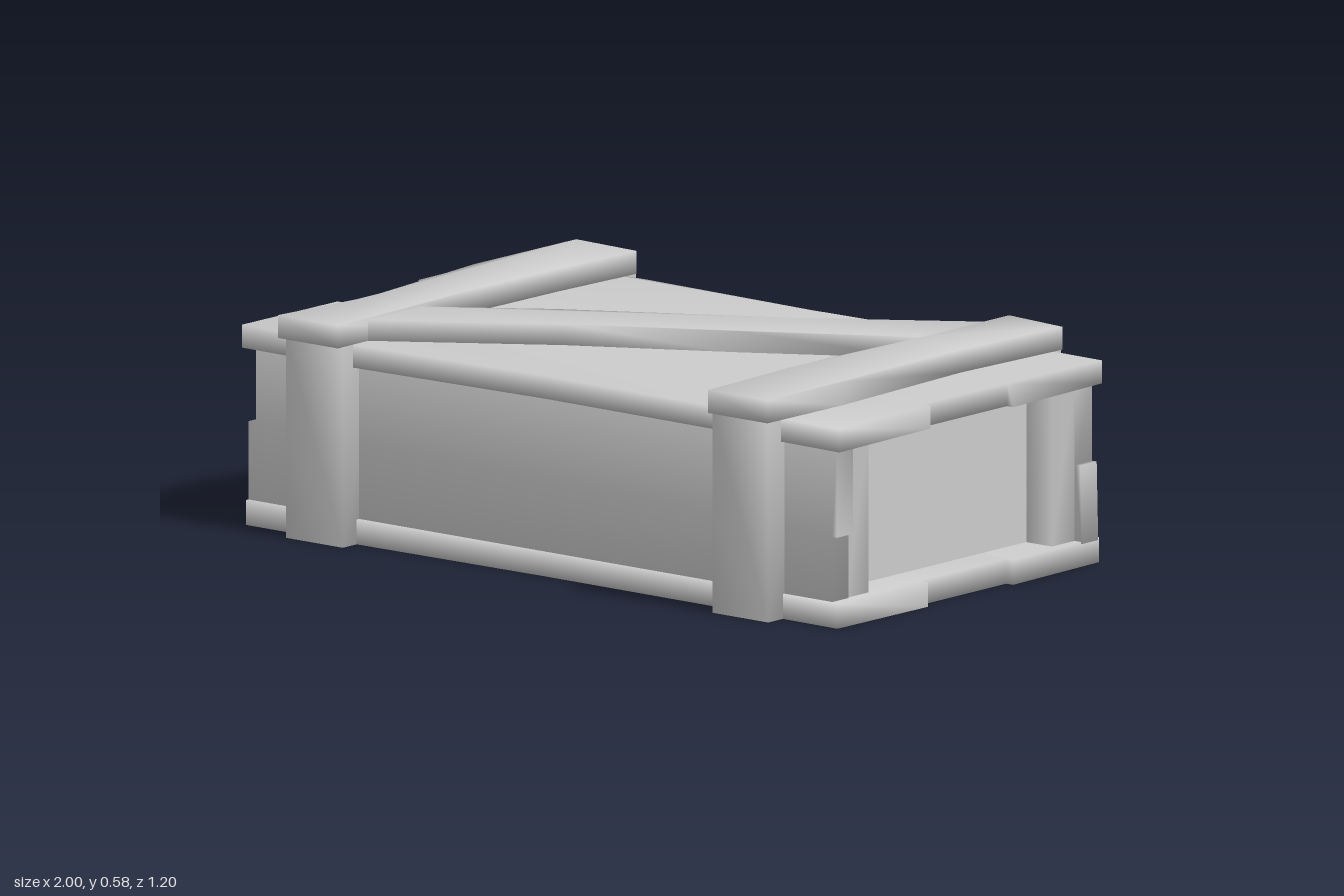
import * as THREE from 'three';
import { mergeVertices } from 'three/addons/utils/BufferGeometryUtils.js';

const material = new THREE.MeshStandardMaterial({ color: 0xcccccc });

// Hand-cut board: an outline given thickness, with softly shaded edges.
function cutBoard(outline, thickness) {
  const shape = new THREE.Shape(outline.map(([a, b]) => new THREE.Vector2(a, b)));
  const raw = new THREE.ExtrudeGeometry(shape, { depth: thickness, bevelEnabled: false });
  raw.deleteAttribute('uv');
  raw.deleteAttribute('normal');
  const geometry = mergeVertices(raw, 1e-4);
  geometry.computeVertexNormals();
  return geometry;
}

export function createModel() {
  const crate = new THREE.Group();
  crate.name = 'crate';

  const add = (name, geometry) => {
    const mesh = new THREE.Mesh(geometry, material);
    mesh.name = name;
    crate.add(mesh);
    return mesh;
  };
  // Board lying flat: outline in (x, z), between two heights.
  const flat = (name, outline, y0, y1) =>
    add(name, cutBoard(outline, y1 - y0).rotateX(Math.PI / 2).translate(0, y1, 0));
  // Board standing upright: outline in (x, y), between two depths.
  const upright = (name, outline, z0, z1) =>
    add(name, cutBoard(outline, z1 - z0).translate(0, 0, z0));
  const block = (name, x0, x1, y0, y1, z0, z1) =>
    add(name, new THREE.BoxGeometry(x1 - x0, y1 - y0, z1 - z0)
      .translate((x0 + x1) / 2, (y0 + y1) / 2, (z0 + z1) / 2));

  // Lid and base, with uneven plank ends
  flat('lid', [
    [-0.995, 0.535], [-0.62, 0.54], [0, 0.515], [0.6, 0.522], [1, 0.535],
    [0.99, 0.16], [0.965, 0.16], [0.965, -0.175], [0.985, -0.175], [0.972, -0.545],
    [0.55, -0.553], [0, -0.538], [-0.55, -0.553], [-1, -0.54],
    [-1, -0.175], [-0.97, -0.175], [-0.97, 0.16], [-0.99, 0.16],
  ], 0.465, 0.525);
  flat('base', [
    [-0.99, 0.525], [-0.62, 0.525], [0, 0.515], [0.6, 0.518], [0.985, 0.525],
    [0.99, 0.17], [0.962, 0.17], [0.962, -0.175], [0.985, -0.175], [0.975, -0.53],
    [0.55, -0.525], [0, -0.53], [-0.55, -0.525], [-1, -0.53],
    [-1, -0.175], [-0.975, -0.175], [-0.975, 0.17], [-0.99, 0.17],
  ], 0, 0.065);

  // Long side walls, each with stepped ends
  upright('frontWall', [
    [-0.99, 0.06], [0.96, 0.06], [0.96, 0.235], [0.975, 0.235],
    [0.975, 0.47], [-0.965, 0.47], [-0.965, 0.27], [-0.99, 0.27],
  ], 0.45, 0.515);
  upright('backWall', [
    [-0.965, 0.06], [0.98, 0.06], [0.975, 0.265], [0.96, 0.265],
    [0.96, 0.47], [-0.985, 0.47], [-0.985, 0.27], [-0.965, 0.27],
  ], -0.52, -0.455);

  // Recessed end panels close the inner box
  block('innerBox', -0.87, 0.87, 0.06, 0.47, -0.452, 0.447);

  // Corner posts and the strapping on both ends
  for (const side of [-1, 1]) {
    const end = side < 0 ? 'right' : 'left';
    for (const face of [-1, 1]) {
      const where = face < 0 ? 'Back' : 'Front';
      const z = face * 0.41;
      const x = side * 0.91;
      upright(`${end}${where}Post`, [
        [x - 0.045, 0.06], [x + 0.045, 0.06], [x + 0.045, 0.47], [x - 0.045, 0.47],
      ], z - 0.045, z + 0.045);

      // Upright strap, slightly bowed
      const [x0, x1] = side < 0 ? [-0.81, -0.62] : [0.615, 0.8];
      const inner = 0.505;
      const outer = face < 0 ? 0.587 : 0.58;
      upright(`${end}${where}Strap`, [
        [x0, 0], [x1, 0], [x1, 0.26], [x1, 0.525], [x0, 0.525], [x0, 0.26],
      ], face < 0 ? -outer : inner, face < 0 ? -inner : outer);
    }
  }

  // Straps across the lid, with wavy edges
  flat('rightLidStrap', [
    [-0.82, 0.6], [-0.62, 0.6], [-0.622, 0.25], [-0.64, 0], [-0.635, -0.3],
    [-0.62, -0.59], [-0.83, -0.6], [-0.835, -0.2], [-0.785, 0.28],
  ], 0.525, 0.585);
  flat('leftLidStrap', [
    [0.612, 0.595], [0.81, 0.595], [0.815, 0.3], [0.79, -0.2], [0.81, -0.58],
    [0.615, -0.6], [0.615, -0.25], [0.6, 0], [0.595, 0.25],
  ], 0.525, 0.585);

  // Diagonal brace between the lid straps
  flat('diagonalBrace', [
    [-0.63, 0.485], [-0.2, 0.195], [0.2, -0.025], [0.62, -0.28],
    [0.62, -0.53], [0.2, -0.24], [-0.34, 0.07], [-0.63, 0.275],
  ], 0.52, 0.58);

  return crate;
}
